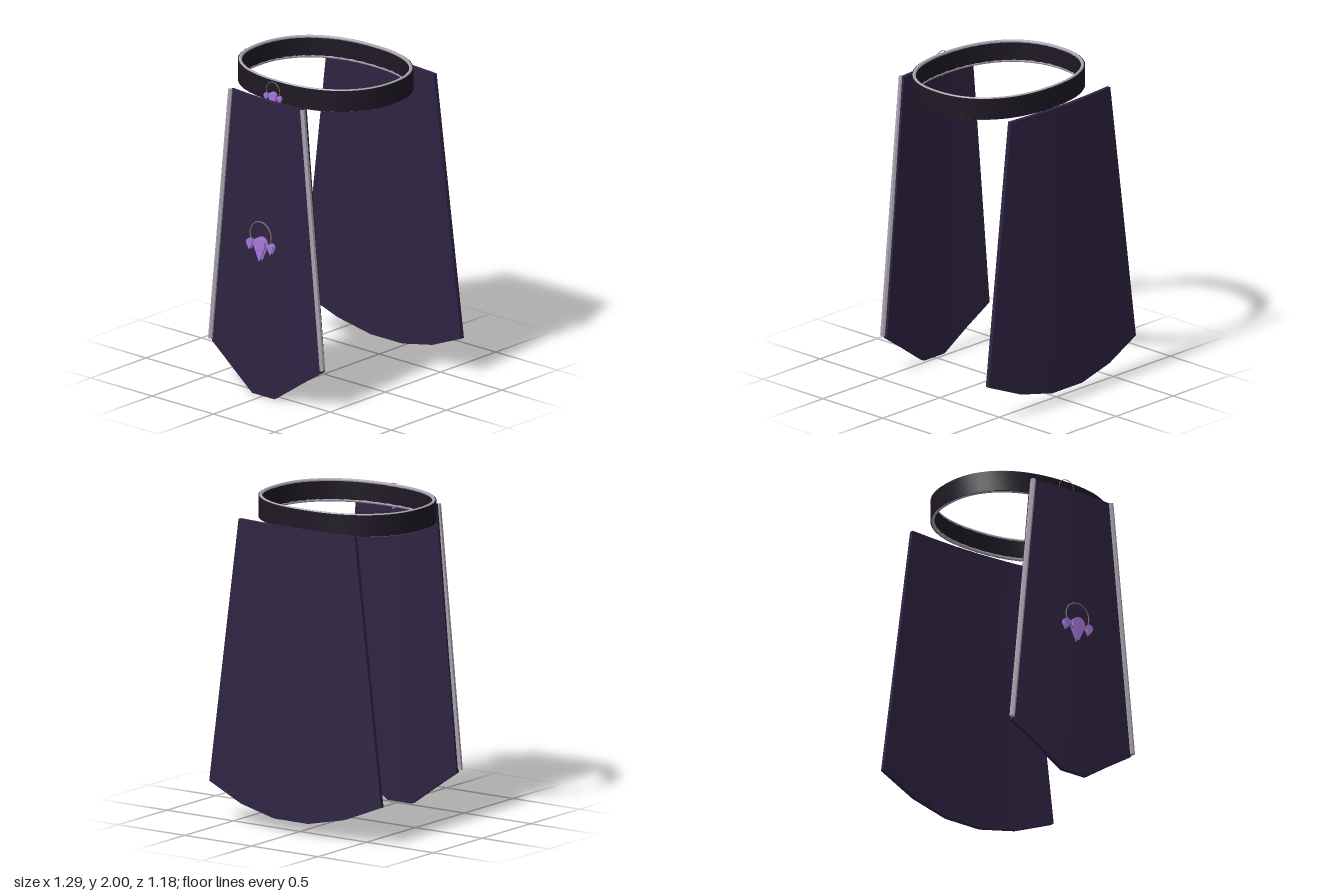
import * as THREE from 'three';
import { toCreasedNormals } from 'three/addons/utils/BufferGeometryUtils.js';

const material = (color) => new THREE.MeshStandardMaterial({ color });
const cloth = material(0x2f2342);
const leather = material(0x1e1824);
const silver = material(0xaaa6b2);
const wire = material(0x77736c);
const gem = material(0xa678dc);

function add(parent, name, geometry, mat) {
  const mesh = new THREE.Mesh(geometry, mat);
  mesh.name = name;
  parent.add(mesh);
  return mesh;
}

// Rounded oval of the waist, shrunk inward by inset
function ovalPoints(inset, count = 48) {
  const points = [];
  const soften = (v) => Math.sign(v) * Math.abs(v) ** 0.88;
  for (let i = 0; i < count; i++) {
    const a = (i / count) * Math.PI * 2;
    points.push(new THREE.Vector2(
      (0.553 - inset) * soften(Math.cos(a)),
      0.015 + (0.455 - inset) * soften(Math.sin(a))));
  }
  return points;
}

function makeBelt() {
  const belt = new THREE.Group();
  belt.name = 'belt';
  const shape = new THREE.Shape(ovalPoints(0));
  shape.holes.push(new THREE.Path(ovalPoints(0.022)));
  const band = new THREE.ExtrudeGeometry(shape, { depth: 0.132, bevelEnabled: false });
  band.rotateX(-Math.PI / 2).translate(0, 1.861, 0);
  add(belt, 'beltBand', toCreasedNormals(band, 0.6), leather);
  // Metal piping along both rims
  for (const [name, y] of [['beltTopTrim', 1.989], ['beltBottomTrim', 1.866]]) {
    const path = new THREE.CatmullRomCurve3(
      ovalPoints(0.014).map((p) => new THREE.Vector3(p.x, y, -p.y)), true);
    add(belt, name, new THREE.TubeGeometry(path, 96, 0.011, 8, true), silver);
  }
  return belt;
}

// Tapered, bowed cloth slab; hem holds the bottom heights at 1/5, 3/5 and 5/5 of the half width
function panelGeometry({ top, bottom, hem, zTop, zBottom, bow, thick, side }) {
  const g = new THREE.BoxGeometry(2, 1, 1, 5, 6, 1);
  const p = g.attributes.position;
  for (let i = 0; i < p.count; i++) {
    const t = p.getX(i);
    const column = Math.round((Math.abs(t) * 5 - 1) / 2);
    const drop = 0.5 - p.getY(i);
    const y = THREE.MathUtils.lerp(1.895, hem[column], drop);
    const fall = (1.895 - y) / 1.895;
    const center = THREE.MathUtils.lerp(zTop, zBottom, fall) - bow[column] * (0.6 + 0.4 * fall);
    // Width follows the height so the side edges stay straight
    const width = THREE.MathUtils.lerp(top, bottom, drop);
    p.setXYZ(i, t * width, y, side * center + p.getZ(i) * thick);
  }
  g.computeVertexNormals();
  return toCreasedNormals(g, 0.6);
}

// Teardrop outline: round top of radius r, point at distance tail below its centre
function teardrop(r, tail) {
  const s = new THREE.Shape();
  s.moveTo(0, -tail);
  s.lineTo(r * 0.94, -r * 0.34);
  s.absarc(0, 0, r, -0.35, Math.PI + 0.35, false);
  s.lineTo(0, -tail);
  return s;
}

// Pendant gem: two face plates joined by a narrower core
function makeGem(name, r, tail, depth) {
  const group = new THREE.Group();
  group.name = name;
  const plate = depth * 0.2;
  const layers = [
    ['gemBack', 1, -depth / 2, plate],
    ['gemCore', 0.78, -depth / 2 + plate, depth - 2 * plate],
    ['gemFront', 1, depth / 2 - plate, plate],
  ];
  for (const [part, scale, z, d] of layers) {
    const g = new THREE.ExtrudeGeometry(teardrop(r * scale, tail * scale),
      { depth: d, bevelEnabled: false, curveSegments: 14 });
    add(group, part, toCreasedNormals(g.translate(0, 0, z), 0.6), gem);
  }
  return group;
}

// Wire hoop with one large and two small hanging gems
function makeOrnament(name) {
  const group = new THREE.Group();
  group.name = name;
  add(group, 'hoop', new THREE.TorusGeometry(0.086, 0.004, 6, 40), wire);
  const main = makeGem('centerGem', 0.046, 0.108, 0.034);
  main.position.y = -0.057;
  group.add(main);
  for (const side of [-1, 1]) {
    const small = makeGem(side > 0 ? 'leftGem' : 'rightGem', 0.024, 0.046, 0.026);
    small.position.set(side * 0.085, -0.06, 0);
    group.add(small);
  }
  return group;
}

export function createModel() {
  const model = new THREE.Group();
  model.name = 'tabardSkirt';
  model.add(makeBelt());

  add(model, 'frontPanel', panelGeometry({
    top: 0.3, bottom: 0.45, hem: [0.005, 0.13, 0.25],
    zTop: 0.522, zBottom: 0.536, bow: [0, 0.014, 0.034], thick: 0.028, side: 1,
  }), cloth);
  add(model, 'backPanel', panelGeometry({
    top: 0.435, bottom: 0.645, hem: [0.085, 0.14, 0.245],
    zTop: 0.548, zBottom: 0.58, bow: [0, 0.015, 0.04], thick: 0.026, side: -1,
  }), cloth);

  // Metal rods edging the front panel
  for (const side of [-1, 1]) {
    const a = new THREE.Vector3(side * 0.293, 1.895, 0.517);
    const b = new THREE.Vector3(side * 0.455, 0.265, 0.519);
    const rod = add(model, side > 0 ? 'leftTrim' : 'rightTrim',
      new THREE.CylinderGeometry(0.017, 0.017, a.distanceTo(b), 6).toNonIndexed(), silver);
    rod.geometry.computeVertexNormals();
    rod.position.copy(a).add(b).multiplyScalar(0.5);
    rod.quaternion.setFromUnitVectors(new THREE.Vector3(0, 1, 0), a.clone().sub(b).normalize());
  }

  const panelOrnament = makeOrnament('panelOrnament');
  panelOrnament.position.set(0, 1.04, 0.572);
  const beltOrnament = makeOrnament('beltOrnament');
  beltOrnament.position.set(0, 1.938, 0.461);
  beltOrnament.scale.setScalar(0.64);
  model.add(panelOrnament, beltOrnament);
  return model;
}
